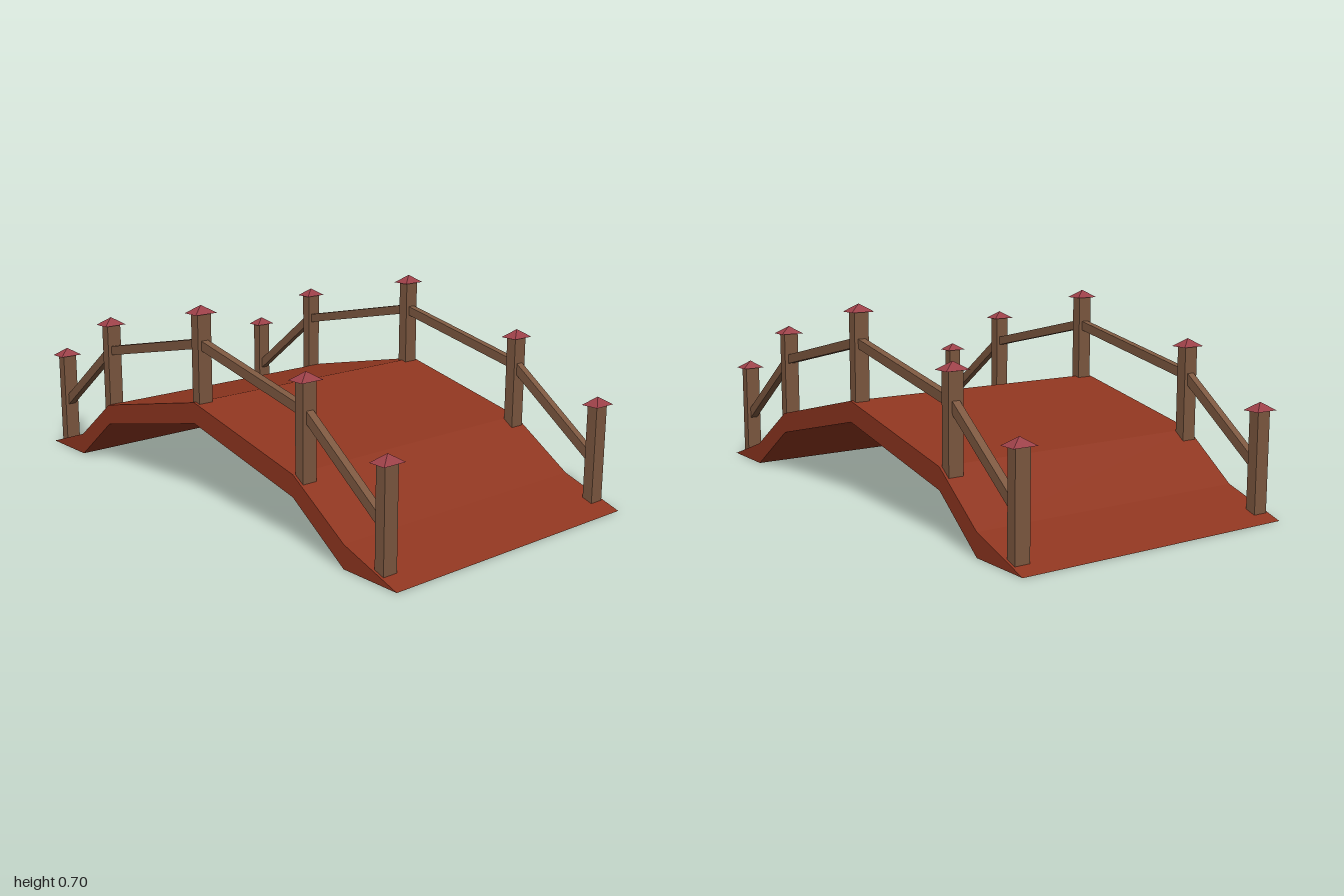
import * as THREE from 'three';

const material = (color) => new THREE.MeshStandardMaterial({ color, flatShading: true });

export function createModel() {
  const bridge = new THREE.Group();
  bridge.name = 'footbridge';
  const deckPaint = material(0x8f3620);
  const wood = material(0x7d5840);
  const capPaint = material(0x9c4048);

  const add = (name, geometry, mat, parent) => {
    const mesh = new THREE.Mesh(geometry, mat);
    mesh.name = name;
    parent.add(mesh);
    return mesh;
  };

  // Arched deck: side profile extruded across the width
  const profile = [
    [-1, 0], [-0.77, 0], [-0.565, 0.165], [0, 0.29], [0.53, 0.165], [0.77, 0],
    [1, 0], [0.77, 0.08], [0.53, 0.24], [0, 0.365], [-0.565, 0.24], [-0.77, 0.08],
  ];
  const shape = new THREE.Shape(profile.map(([x, y]) => new THREE.Vector2(x, y)));
  const deckGeometry = new THREE.ExtrudeGeometry(shape, { depth: 1.06, bevelEnabled: false });
  deckGeometry.translate(0, 0, -0.53);
  add('deck', deckGeometry, deckPaint, bridge);

  // Posts: x, bottom, top, and rail height at the post
  const posts = [
    { x: -0.93, bottom: 0.015, top: 0.367, rail: 0.175 },
    { x: -0.585, bottom: 0.2, top: 0.543, rail: 0.443 },
    { x: 0, bottom: 0.34, top: 0.672, rail: 0.567 },
    { x: 0.55, bottom: 0.2, top: 0.543, rail: 0.443 },
    { x: 0.915, bottom: 0.015, top: 0.367, rail: 0.17 },
  ];

  // Square pyramid of unit base and height
  const capGeometry = new THREE.ConeGeometry(Math.SQRT1_2, 1, 4).rotateY(Math.PI / 4);

  for (const side of [1, -1]) {
    const railing = new THREE.Group();
    railing.name = side > 0 ? 'frontRailing' : 'backRailing';
    railing.position.z = side * 0.493;
    bridge.add(railing);

    posts.forEach((p, i) => {
      const height = p.top - p.bottom;
      const post = add('post', new THREE.BoxGeometry(0.038, height, 0.055), wood, railing);
      post.position.set(p.x, p.bottom + height / 2, 0);

      const cap = add('postCap', capGeometry, capPaint, railing);
      cap.scale.set(0.064, 0.028, 0.088);
      cap.position.set(p.x, p.top + 0.014, 0);

      // Sloping rail to the next post
      const next = posts[i + 1];
      if (!next) return;
      const dx = next.x - p.x;
      const dy = next.rail - p.rail;
      const rail = add('rail', new THREE.BoxGeometry(Math.hypot(dx, dy), 0.033, 0.028), wood, railing);
      rail.position.set((p.x + next.x) / 2, (p.rail + next.rail) / 2, 0);
      rail.rotation.z = Math.atan2(dy, dx);
    });
  }
  return bridge;
}
